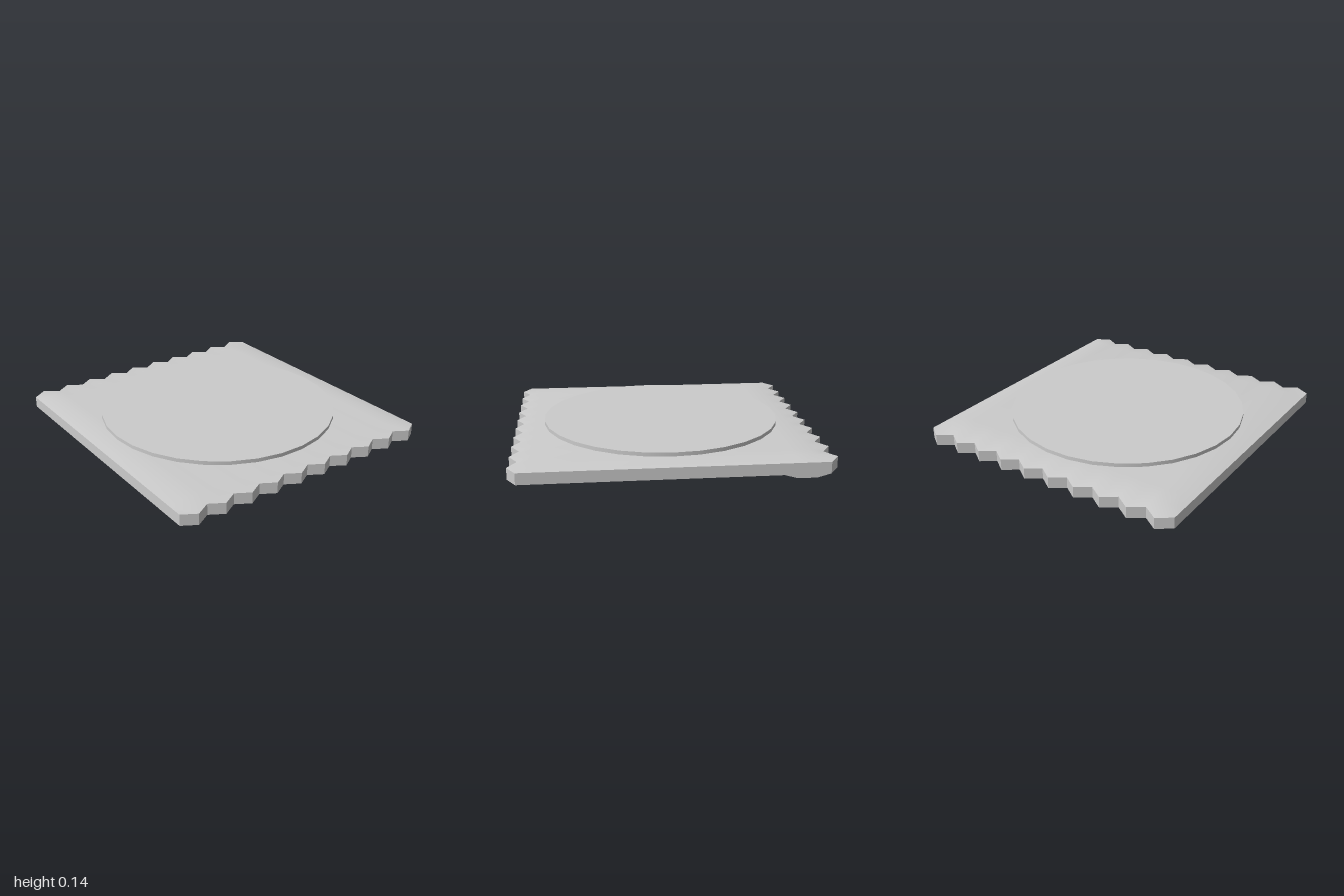
import * as THREE from 'three';
import { toCreasedNormals } from 'three/addons/utils/BufferGeometryUtils.js';

const HALF_WIDTH = 0.94;
const TEETH = 10;
const COLS = TEETH * 2;               // two columns per tooth
const INNER_ROWS = [-0.85, -0.73, -0.65, 0.85];
const ROWS = INNER_ROWS.length + 1;   // index of the last row

// Plan position of a grid point: the first and last rows follow the zigzag
function planPoint(i, j) {
  const x = -HALF_WIDTH + (2 * HALF_WIDTH * i) / COLS;
  const peak = i % 2 === 1;
  if (j === 0) return [x, peak ? -1 : -0.935];
  if (j === ROWS) return [x, peak ? 1 : 0.945];
  return [x, INNER_ROWS[j - 1]];
}

// Thin plate with softly bevelled rims and toothed ends
function plateGeometry() {
  const positions = [];
  const onRim = (i, j) => i === 0 || i === COLS || j === 0 || j === ROWS;
  const top = (i, j) => {
    const [x, z] = planPoint(i, j);
    return [x, onRim(i, j) ? 0.097 : 0.115, z];
  };
  const bottom = (i, j) => {
    const [x, z] = planPoint(i, j);
    const dip = i === COLS && (j === 1 || j === 2); // lowered lip near the back left corner
    return [x, onRim(i, j) && !dip ? 0.023 : 0, z];
  };
  const quad = (a, b, c, d) => positions.push(...a, ...b, ...c, ...a, ...c, ...d);
  const wall = (p, q) => quad(bottom(...p), bottom(...q), top(...q), top(...p));

  // upper and lower faces
  for (let i = 0; i < COLS; i++) {
    for (let j = 0; j < ROWS; j++) {
      quad(top(i, j), top(i, j + 1), top(i + 1, j + 1), top(i + 1, j));
      quad(bottom(i, j), bottom(i + 1, j), bottom(i + 1, j + 1), bottom(i, j + 1));
    }
    // toothed end walls
    wall([i, ROWS], [i + 1, ROWS]);
    wall([i + 1, 0], [i, 0]);
  }
  // straight side walls
  for (let j = 0; j < ROWS; j++) {
    wall([COLS, j + 1], [COLS, j]);
    wall([0, j], [0, j + 1]);
  }

  const geometry = new THREE.BufferGeometry();
  geometry.setAttribute('position', new THREE.Float32BufferAttribute(positions, 3));
  return toCreasedNormals(geometry, 0.5);
}

export function createModel() {
  const model = new THREE.Group();
  model.name = 'toothedPlate';
  const material = new THREE.MeshStandardMaterial({ color: 0xcccccc });

  const plate = new THREE.Mesh(plateGeometry(), material);
  plate.name = 'plate';
  model.add(plate);

  // raised round pad on top
  const padGeometry = new THREE.CylinderGeometry(0.8, 0.8, 0.04, 30, 1, false, Math.PI / 30);
  const pad = new THREE.Mesh(padGeometry, material);
  pad.name = 'raisedDisc';
  pad.position.set(0, 0.12, 0.005);
  model.add(pad);

  return model;
}
